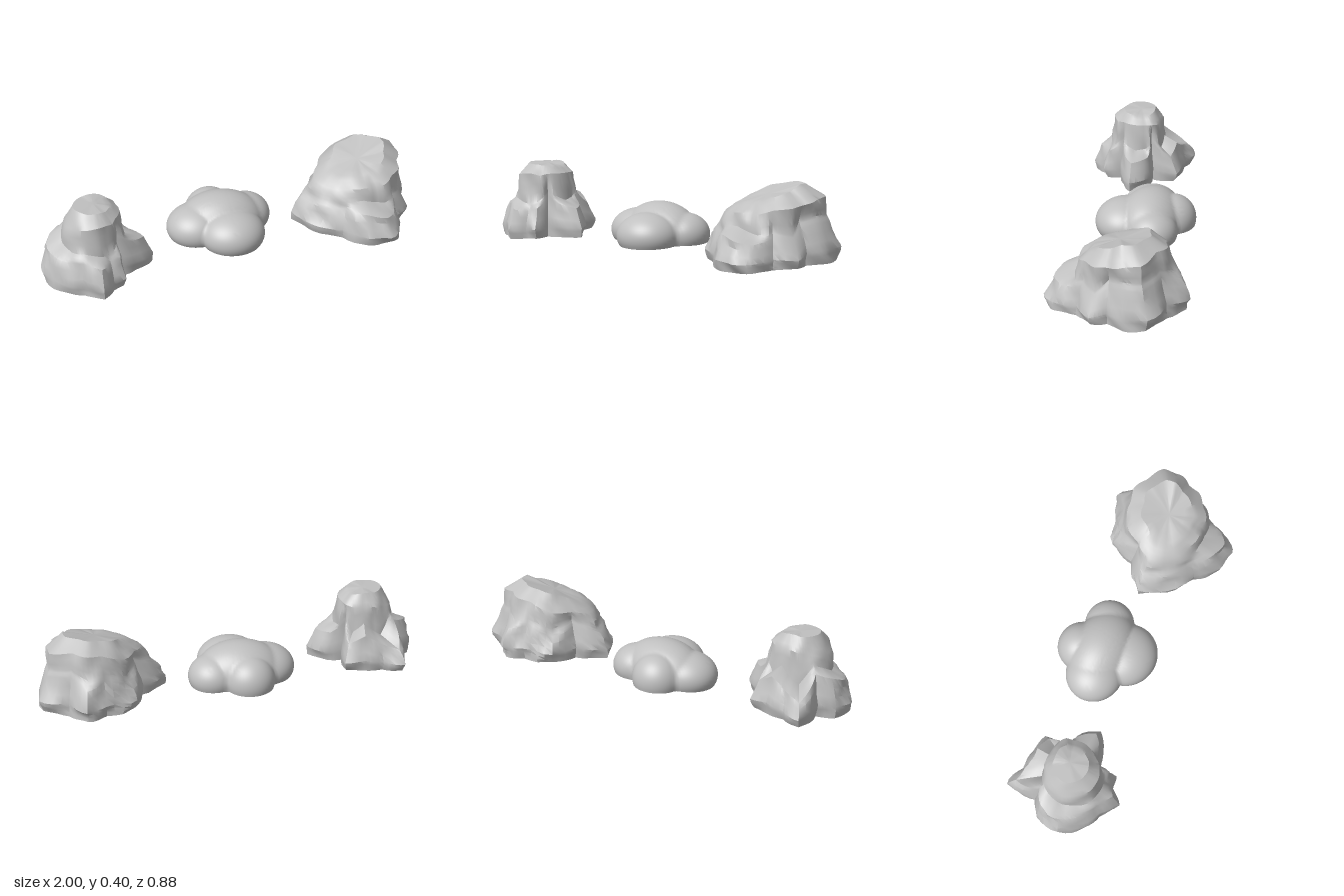
import * as THREE from 'three';
import { mergeVertices, toCreasedNormals } from 'three/addons/utils/BufferGeometryUtils.js';

const stone = new THREE.MeshStandardMaterial({ color: 0xc0c0c0 });
stone.name = 'grey stone';

const { lerp } = THREE.MathUtils;
const LEAN = 0.045; // the ground plane drops slightly towards the front

// Closed skin from loops of points, base middle first and top middle last
function skin(name, loops, crease) {
  const n = loops[0].length, index = [];
  for (let j = 0; j < loops.length - 1; j++) {
    for (let i = 0; i < n; i++) {
      const a = j * n + i, b = j * n + (i + 1) % n;
      if (j < loops.length - 2) index.push(a, a + n, b + n);
      if (j > 0) index.push(a, b + n, b);
    }
  }
  const geometry = new THREE.BufferGeometry().setFromPoints(loops.flat());
  geometry.setIndex(index);
  const mesh = new THREE.Mesh(toCreasedNormals(mergeVertices(geometry, 1e-5), crease), stone);
  mesh.name = name;
  return mesh;
}

// Small dents and bulges
const chip = (x, y, z) =>
  Math.sin(x * 47 + y * 31) + Math.sin(z * 43 - y * 37 + 2) + Math.sin((x - z) * 33 + y * 53);

// Craggy rock from columns around its centre:
// [angle in degrees, foot radius, foot height, shoulder radius, shoulder height, crown height]
function cragRock(name, [cx, cy, cz], top, columns) {
  const across = 4, along = 3;
  const profiles = [];
  columns.forEach((column, k) => {
    const next = [...columns[(k + 1) % columns.length]];
    if (next[0] < column[0]) next[0] += 360;
    for (let s = 0; s < across; s++) {
      const [angle, foot, footY, shoulder, shoulderY, crownY] = column.map((v, m) => lerp(v, next[m], s / across));
      const a = THREE.MathUtils.degToRad(angle);
      const base = cy - LEAN * Math.sin(a) * foot;
      const knots = [
        [0, cy], [foot * 0.96, base], [foot, base + footY * 0.3], [foot * 0.86, footY],
        [Math.min(foot * 0.8, shoulder * 1.12), footY + 0.035],
        [shoulder, shoulderY], [shoulder * 0.65, crownY], [0, top],
      ];
      const points = [];
      for (let q = 0; q < knots.length - 1; q++) {
        const steps = q === 0 ? 1 : along;
        for (let t = 0; t < steps; t++) {
          const r = lerp(knots[q][0], knots[q + 1][0], t / steps);
          const y = lerp(knots[q][1], knots[q + 1][1], t / steps);
          const x = Math.cos(a) * r, z = Math.sin(a) * r;
          const out = 1 + 0.015 * chip(x, y, z);
          points.push(new THREE.Vector3(cx + x * out, y, cz + z * out));
        }
      }
      points.push(new THREE.Vector3(cx, top, cz));
      profiles.push(points);
    }
  });
  return skin(name, profiles[0].map((_, j) => profiles.map((p) => p[j])), 0.6);
}

// Smooth rock wrapped over ellipsoid lobes: [x, y, z, radiusX, radiusY, radiusZ]
function lobedRock(name, [cx, cy, cz], lobes) {
  const segments = 96, rings = 30;
  const loops = [Array.from({ length: segments }, () => new THREE.Vector3(cx, cy, cz))];
  for (let j = 0; j <= rings; j++) {
    const rise = j / rings * Math.PI / 2;
    loops.push(Array.from({ length: segments }, (_, i) => {
      const a = i / segments * Math.PI * 2;
      const d = new THREE.Vector3(Math.cos(a) * Math.cos(rise), Math.sin(rise), Math.sin(a) * Math.cos(rise));
      d.y -= LEAN * d.z * Math.cos(rise);
      // farthest crossing of the ray with any lobe
      let reach = 0;
      for (const [x, y, z, rx, ry, rz] of lobes) {
        const size = new THREE.Vector3(rx, ry, rz);
        const o = new THREE.Vector3(cx - x, cy - y, cz - z).divide(size);
        const v = d.clone().divide(size);
        const b = o.dot(v), root = b * b - v.lengthSq() * (o.lengthSq() - 1);
        if (root > 0) reach = Math.max(reach, (Math.sqrt(root) - b) / v.lengthSq());
      }
      return d.multiplyScalar(reach).add(new THREE.Vector3(cx, cy, cz));
    }));
  }
  return skin(name, loops, 1.1);
}

export function createModel() {
  const group = new THREE.Group();
  group.name = 'rocks';

  // Tall stepped crag
  group.add(cragRock('tallRock', [-0.72, 0.015, 0.16], 0.4, [
    [0, 0.29, 0.17, 0.13, 0.35, 0.385],
    [17, 0.215, 0.19, 0.13, 0.35, 0.39],
    [39, 0.15, 0.22, 0.13, 0.35, 0.39],
    [56, 0.22, 0.17, 0.14, 0.34, 0.39],
    [72, 0.22, 0.15, 0.145, 0.35, 0.395],
    [88, 0.275, 0.16, 0.155, 0.35, 0.395],
    [112, 0.24, 0.18, 0.16, 0.34, 0.395],
    [135, 0.255, 0.17, 0.155, 0.33, 0.4],
    [164, 0.28, 0.18, 0.155, 0.31, 0.4],
    [191, 0.265, 0.22, 0.145, 0.31, 0.4],
    [209, 0.21, 0.24, 0.135, 0.32, 0.4],
    [235, 0.33, 0.14, 0.13, 0.33, 0.4],
    [252, 0.255, 0.17, 0.12, 0.34, 0.405],
    [275, 0.24, 0.22, 0.12, 0.34, 0.405],
    [298, 0.255, 0.17, 0.13, 0.34, 0.4],
    [321, 0.15, 0.24, 0.14, 0.35, 0.39],
    [337, 0.225, 0.18, 0.13, 0.35, 0.385],
  ]));

  // Low smooth boulder
  group.add(lobedRock('lowRock', [-0.04, 0.03, -0.04], [
    [-0.04, 0.07, -0.06, 0.23, 0.165, 0.17],
    [-0.17, 0.075, -0.03, 0.16, 0.115, 0.15],
    [-0.08, 0.075, -0.165, 0.13, 0.125, 0.125],
    [0.1, 0.075, -0.1, 0.132, 0.11, 0.13],
    [0, 0.07, 0.065, 0.17, 0.12, 0.16],
  ]));

  // Broad sloping outcrop
  group.add(cragRock('broadRock', [0.7, 0.025, -0.09], 0.345, [
    [0, 0.25, 0.2, 0.22, 0.31, 0.37],
    [16, 0.28, 0.14, 0.22, 0.3, 0.36],
    [41, 0.255, 0.16, 0.2, 0.29, 0.34],
    [60, 0.335, 0.14, 0.2, 0.27, 0.32],
    [74, 0.355, 0.15, 0.18, 0.27, 0.32],
    [93, 0.335, 0.17, 0.18, 0.27, 0.31],
    [118, 0.275, 0.17, 0.19, 0.26, 0.31],
    [150, 0.31, 0.16, 0.22, 0.25, 0.3],
    [176, 0.36, 0.16, 0.24, 0.26, 0.31],
    [201, 0.25, 0.2, 0.21, 0.28, 0.34],
    [230, 0.3, 0.17, 0.22, 0.29, 0.37],
    [262, 0.3, 0.22, 0.22, 0.34, 0.385],
    [279, 0.355, 0.2, 0.24, 0.35, 0.395],
    [299, 0.3, 0.24, 0.24, 0.36, 0.4],
    [325, 0.35, 0.22, 0.27, 0.34, 0.4],
    [343, 0.31, 0.22, 0.25, 0.33, 0.4],
  ]));

  return group;
}
